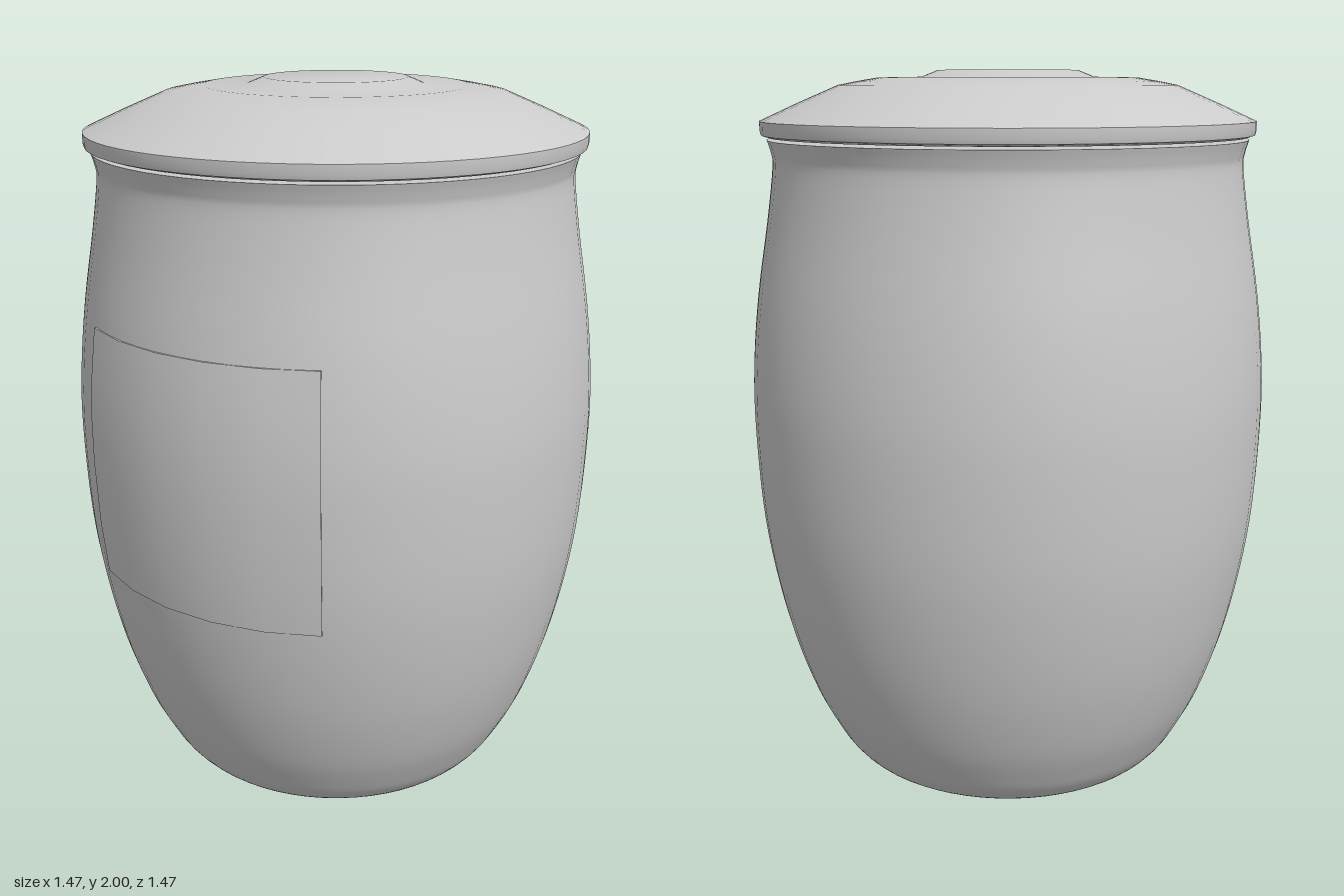
import * as THREE from 'three';
import { toCreasedNormals } from 'three/addons/utils/BufferGeometryUtils.js';

const material = new THREE.MeshStandardMaterial({ color: 0xcccccc, side: THREE.DoubleSide });
const vectors = (points) => points.map(([x, y]) => new THREE.Vector2(x, y));

// Jar wall: radius and height, from foot to mouth
const wall = new THREE.SplineCurve(vectors([
  [0.40, 0.005], [0.455, 0.018], [0.50, 0.06], [0.535, 0.115], [0.59, 0.225], [0.65, 0.40],
  [0.695, 0.60], [0.722, 0.80], [0.733, 1.05], [0.727, 1.22], [0.707, 1.40],
  [0.674, 1.60], [0.655, 1.74], [0.658, 1.78], [0.668, 1.815],
]));

function named(geometry, name) {
  const mesh = new THREE.Mesh(geometry, material);
  mesh.name = name;
  return mesh;
}

function turned(profile, name) {
  return named(toCreasedNormals(new THREE.LatheGeometry(profile, 64), 0.7), name);
}

// Curved plate that follows the belly of the jar, with closed ends
function createLabel(bottom, top, halfAngle) {
  const band = wall.getPoints(120).filter((p) => p.y > bottom && p.y < top)
    .filter((p, i, all) => i % 6 === 0 || i === all.length - 1);
  const outer = band.map((p) => new THREE.Vector2(p.x + 0.006, p.y));
  const inner = band.map((p) => new THREE.Vector2(p.x - 0.015, p.y)).reverse();
  const outline = [inner[inner.length - 1], ...outer, ...inner];
  const label = new THREE.Group();
  label.name = 'label';
  const plate = new THREE.LatheGeometry(outline, 5, -halfAngle, halfAngle * 2);
  label.add(named(toCreasedNormals(plate, 0.7), 'labelPlate'));
  for (const side of [-1, 1]) {
    const end = named(new THREE.ShapeGeometry(new THREE.Shape([...outer, ...inner])), 'labelEnd');
    end.rotation.y = side * halfAngle - Math.PI / 2;
    label.add(end);
  }
  return label;
}

export function createModel() {
  const model = new THREE.Group();
  model.name = 'lidded jar';

  // Body with closed foot and mouth
  const body = [new THREE.Vector2(0, 0), new THREE.Vector2(0.38, 0), ...wall.getPoints(56), new THREE.Vector2(0, 1.815)];
  model.add(turned(body, 'body'));

  // Overhanging lid with a low raised button
  model.add(turned(vectors([
    [0, 1.822], [0.665, 1.822], [0.683, 1.828], [0.686, 1.84], [0.686, 1.865],
    [0.58, 1.913], [0.47, 1.96], [0.42, 1.97], [0.36, 1.98], [0.24, 1.982], [0.195, 2], [0, 2],
  ]), 'lid'));

  model.add(createLabel(0.67, 1.40, Math.PI / 6));
  return model;
}
